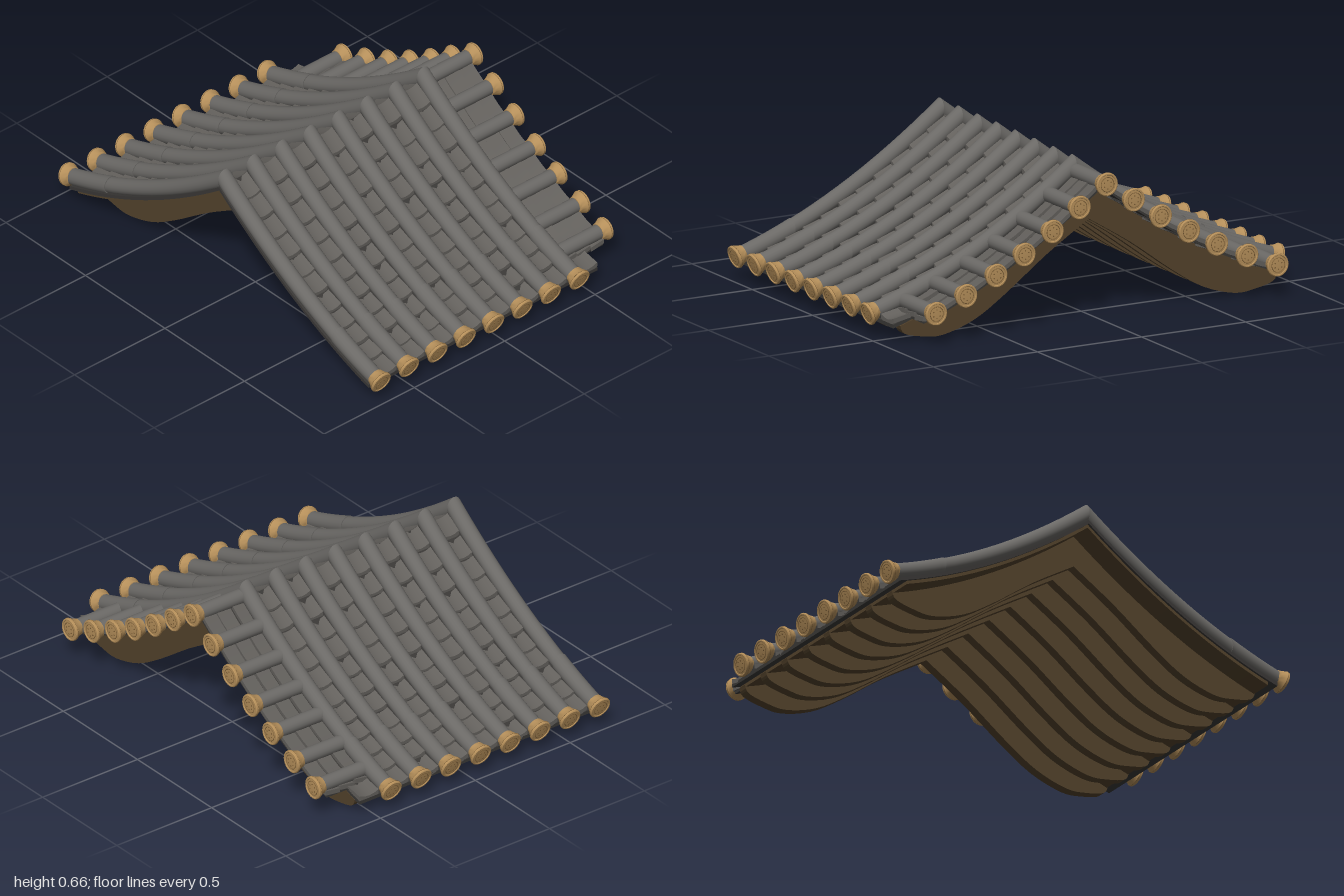
import * as THREE from 'three';
import { mergeGeometries, toCreasedNormals } from 'three/addons/utils/BufferGeometryUtils.js';

const material = (name, color) => {
  const m = new THREE.MeshStandardMaterial({ color });
  m.name = name;
  return m;
};

// Roof curve: height of the cover tile axis over the distance from the ridge
const roofY = z => 0.612 - 0.76 * Math.abs(z) + 0.24 * z * z;
const roofSlope = z => -0.76 + 0.48 * Math.abs(z);

let seed = 7;
const jitter = a => {
  seed = (seed * 16807) % 2147483647;
  return (seed / 2147483647 - 0.5) * 2 * a;
};

// Box bent along the roof curve; top and bottom are offsets given by u, v in -0.5..0.5
function bentSlab(x0, x1, z0, z1, top, bottom, nx = 1, nz = 1) {
  const g = new THREE.BoxGeometry(1, 1, 1, nx, 1, nz);
  const p = g.attributes.position;
  for (let i = 0; i < p.count; i++) {
    const u = p.getX(i), v = p.getZ(i);
    const z = (z0 + z1) / 2 + v * (z1 - z0);
    const off = p.getY(i) > 0 ? top(u, v) : bottom(u, v);
    p.setXYZ(i, (x0 + x1) / 2 + u * (x1 - x0), roofY(z) + off, z);
  }
  g.computeVertexNormals();
  return g;
}

// Round cover tile bent along the roof curve, mitred at the ridge
function bentTube(x, z0, z1, r0, r1) {
  const g = new THREE.CylinderGeometry(r1, r0, z1 - z0, 18, 12);
  g.rotateX(Math.PI / 2);
  const p = g.attributes.position;
  for (let i = 0; i < p.count; i++) {
    const z = p.getZ(i) + (z0 + z1) / 2;
    p.setXYZ(i, x + p.getX(i), roofY(z) + p.getY(i) * Math.hypot(1, roofSlope(z)), z);
  }
  g.computeVertexNormals();
  return g;
}

export function createModel() {
  const model = new THREE.Group();
  model.name = 'tiledRoof';
  const coverMat = material('cover tile grey', 0x6b6966);
  const panMat = material('pan tile grey', 0x63605c);
  const seamMat = material('dark seam grey', 0x3a3836);
  const woodMat = material('dark brown wood', 0x54432c);
  const capMat = material('tan end cap', 0xb58f5a);
  const capDarkMat = material('brown cap relief', 0x84643a);

  const add = (name, parts, mat) => {
    const mesh = new THREE.Mesh(Array.isArray(parts) ? mergeGeometries(parts) : parts, mat);
    mesh.name = name;
    model.add(mesh);
    return mesh;
  };
  const flat = value => () => value;

  const tubeX = Array.from({ length: 8 }, (_, i) => -0.67 + i * 0.157);
  const halfSide = [0.13, 0.26, 0.395, 0.53, 0.675, 0.82];
  const sideZ = [...halfSide.map(z => -z).reverse(), 0, ...halfSide];
  const sideY = z => roofY(z) - (z === 0 ? 0.022 : 0.01);

  // Deck, rafters and the dark bed under the tiles
  const halves = [[-1, 0], [0, 1]];
  add('deck', halves.map(([a, b]) =>
    bentSlab(-0.69, 0.56, a * 0.9, b * 0.9, flat(-0.045), flat(-0.065), 1, 16)), woodMat);
  add('tileBed', halves.map(([a, b]) =>
    bentSlab(-0.7, 0.565, a * 0.94, b * 0.94, flat(-0.034), flat(-0.05), 1, 16)), seamMat);
  add('sideTileBed', halves.map(([a, b]) =>
    bentSlab(0.5, 0.672, a * 0.855, b * 0.855, flat(-0.032), flat(-0.045), 1, 16)), seamMat);

  const lower = [[0, 0.41], [0.2, 0.285], [0.4, 0.14], [0.55, 0.048], [0.7, 0.002], [0.8, 0.008], [0.885, 0.03], [0.905, 0.065]];
  const lowerCurve = new THREE.SplineCurve(lower.map(([z, y]) => new THREE.Vector2(z, y))).getPoints(28);
  const outline = [
    ...lowerCurve.slice(1).reverse().map(p => new THREE.Vector2(-p.x, p.y)),
    ...lowerCurve,
  ];
  for (let i = 0; i <= 24; i++) {
    const z = 0.89 - (i / 24) * 1.78;
    outline.push(new THREE.Vector2(z, roofY(z) - 0.055));
  }
  const rafterGeo = new THREE.ExtrudeGeometry(new THREE.Shape(outline), { depth: 0.042, bevelEnabled: false });
  rafterGeo.rotateY(-Math.PI / 2);
  for (let i = 0; i < 8; i++) {
    add('rafter', rafterGeo, woodMat).position.x = -0.543 + i * 0.158;
  }

  // Rows of hollow pan tiles between the cover tiles
  const pans = [];
  const rows = 11, rowLength = 0.94 / rows;
  const sag = u => -0.012 * (1 - 4 * u * u);
  for (let i = 0; i < 8; i++) {
    const x0 = tubeX[i] + 0.034;
    const x1 = i < 7 ? tubeX[i + 1] - 0.034 : 0.565;
    for (const s of [-1, 1]) {
      for (let r = 0; r < rows; r++) {
        const near = r * rowLength;
        const far = near + rowLength - 0.004 + (r < rows - 1 ? jitter(0.003) : 0.004);
        const lift = jitter(0.003) - (i === 7 && far < 0.87 ? 0.014 : 0);
        const top = (u, v) => -0.016 + lift + s * v * 0.012 + sag(u);
        pans.push(bentSlab(x0, x1, s > 0 ? near : -far, s > 0 ? far : -near,
          top, (u, v) => top(u, v) - 0.02, 4, 1));
      }
    }
  }
  add('panTiles', pans, panMat);

  // Short pan tiles along the gable edge
  const sidePans = [];
  const edges = [-0.86, ...sideZ, 0.86];
  for (let i = 0; i < edges.length - 1; i++) {
    for (let c = 0; c < 3; c++) {
      const x0 = 0.45 + c * 0.077;
      const shift = jitter(0.003);
      const top = (u, v) => -0.014 + shift + u * 0.01 - 0.008 * (1 - 4 * v * v);
      sidePans.push(bentSlab(x0, x0 + 0.072 + jitter(0.003), edges[i], edges[i + 1],
        top, (u, v) => top(u, v) - 0.02, 1, 4));
    }
  }
  add('gablePanTiles', sidePans, panMat);

  // Long cover tiles with a joint near each eave
  for (const x of tubeX) {
    add('coverTile', [
      bentTube(x, -0.73, 0, 0.0345, 0.0365), bentTube(x, 0, 0.73, 0.0365, 0.0345),
      bentTube(x, -0.955, -0.715, 0.036, 0.038), bentTube(x, 0.715, 0.955, 0.038, 0.036),
    ], coverMat);
  }

  // Short cover tiles along the gable edge
  const sideTubeGeo = new THREE.CylinderGeometry(0.033, 0.033, 0.245, 18).rotateZ(-Math.PI / 2);
  for (const z of sideZ) {
    add('gableCoverTile', sideTubeGeo, coverMat).position.set(0.5625, sideY(z), z);
  }

  // Flared end cap with a rim, a ring and studs on its face
  const capGeo = toCreasedNormals(new THREE.LatheGeometry([
    [0, 0], [0.036, 0], [0.039, 0.012], [0.047, 0.03], [0.05, 0.034], [0.05, 0.044],
    [0.047, 0.047], [0.042, 0.047], [0.04, 0.044], [0, 0.047],
  ].map(([r, y]) => new THREE.Vector2(r, y)), 24), 0.6);
  const reliefParts = [new THREE.TorusGeometry(0.031, 0.0015, 4, 24).rotateX(Math.PI / 2).translate(0, 0.045, 0)];
  for (let i = 0; i < 6; i++) {
    const a = (i / 6) * Math.PI * 2;
    reliefParts.push(new THREE.CylinderGeometry(0.003, 0.003, 0.004, 8)
      .translate(Math.cos(a) * 0.018, 0.046, Math.sin(a) * 0.018));
  }
  reliefParts.push(new THREE.TorusGeometry(0.0497, 0.0012, 4, 24).rotateX(Math.PI / 2).translate(0, 0.036, 0));
  const reliefGeo = mergeGeometries(reliefParts);
  const up = new THREE.Vector3(0, 1, 0);
  const addCap = (name, x, y, z, direction) => {
    const cap = new THREE.Group();
    cap.name = name;
    const body = new THREE.Mesh(capGeo, capMat);
    body.name = 'capBody';
    const relief = new THREE.Mesh(reliefGeo, capDarkMat);
    relief.name = 'capRelief';
    cap.add(body, relief);
    cap.position.set(x, y, z);
    cap.quaternion.setFromUnitVectors(up, direction.normalize());
    model.add(cap);
  };
  for (const x of tubeX) {
    for (const s of [-1, 1]) {
      addCap('eaveCap', x, roofY(0.945) + 0.003, s * 0.945, new THREE.Vector3(0, roofSlope(0.945), s));
    }
  }
  for (const z of sideZ) addCap('gableCap', 0.673, sideY(z), z, new THREE.Vector3(1, 0, 0));

  return model;
}
